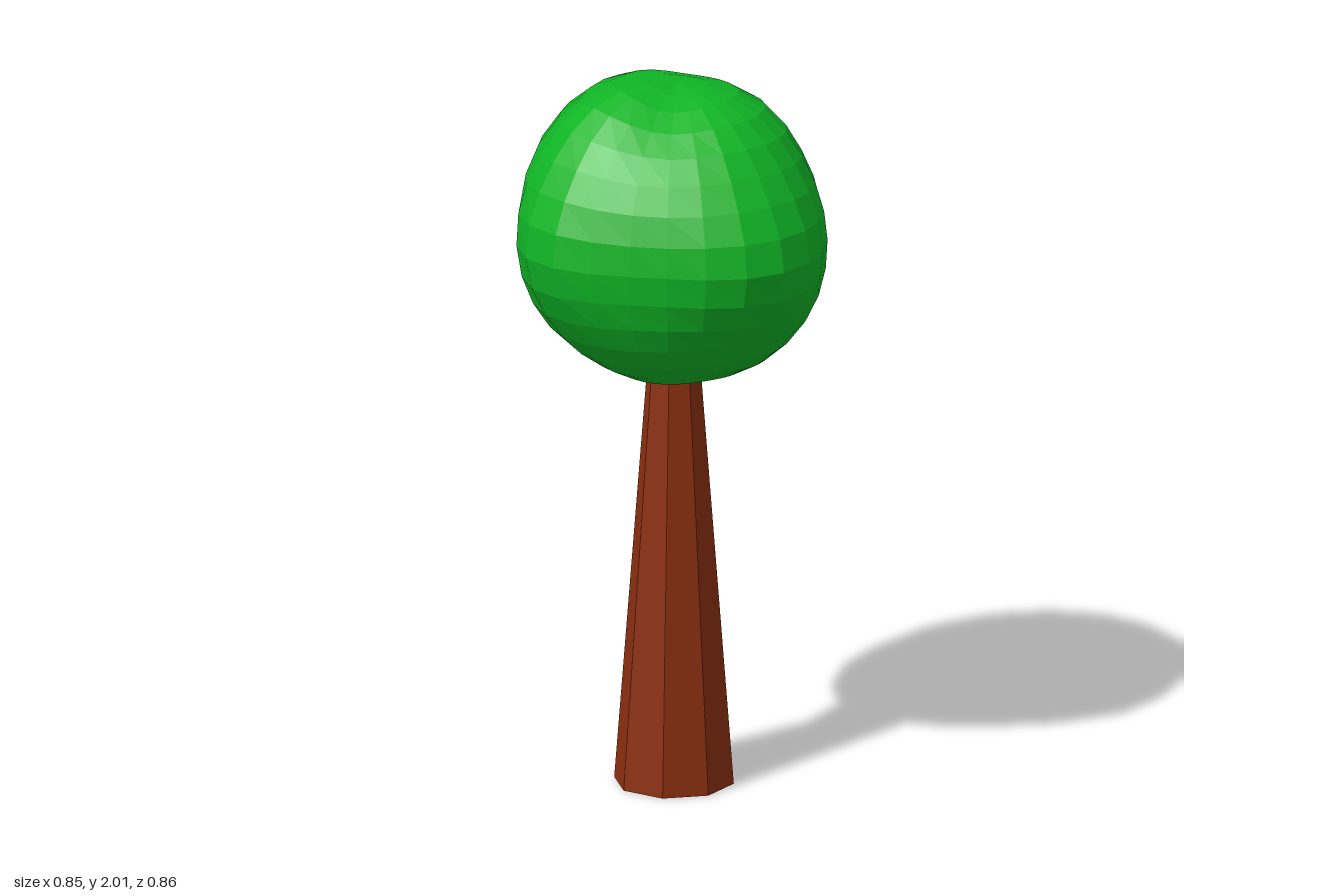
import * as THREE from 'three';

const bark = new THREE.MeshStandardMaterial({ name: 'bark brown', color: 0x8b2f10, flatShading: true });
const leaf = new THREE.MeshStandardMaterial({ name: 'leaf green', color: 0x10b526, flatShading: true });

// Smooth curve through four neighbouring values
function spline(a, b, c, d, t) {
  return b + 0.5 * t * (c - a + t * (2 * a - 5 * b + 4 * c - d + t * (3 * (b - c) + d - a)));
}

// Crown radius by latitude (-90 to 90 in steps of 30) and by eighths of a turn,
// starting at +x and turning towards +z
const crownRadii = [
  [0.425, 0.425, 0.425, 0.425, 0.425, 0.425, 0.425, 0.425],
  [0.435, 0.42, 0.425, 0.425, 0.405, 0.43, 0.435, 0.46],
  [0.43, 0.425, 0.43, 0.445, 0.435, 0.45, 0.44, 0.43],
  [0.42, 0.48, 0.43, 0.485, 0.412, 0.45, 0.432, 0.382],
  [0.42, 0.445, 0.43, 0.475, 0.45, 0.475, 0.445, 0.39],
  [0.44, 0.44, 0.425, 0.475, 0.46, 0.46, 0.435, 0.43],
  [0.427, 0.427, 0.427, 0.427, 0.427, 0.427, 0.427, 0.427],
];

function crownRadius(latitude, turn) {
  const u = (((turn / (Math.PI * 2)) * 8) + 8) % 8;
  const i = Math.floor(u);
  const v = (latitude / Math.PI + 0.5) * 6;
  const j = Math.min(5, Math.floor(v));
  const ring = (k) => {
    const r = crownRadii[Math.max(0, Math.min(6, k))];
    return spline(r[(i + 7) % 8], r[i % 8], r[(i + 1) % 8], r[(i + 2) % 8], u - i);
  };
  return spline(ring(j - 1), ring(j), ring(j + 1), ring(j + 2), v - j);
}

// Lumpy ball of leaves
function makeCrown() {
  const geometry = new THREE.SphereGeometry(1, 26, 16);
  const p = geometry.attributes.position;
  const v = new THREE.Vector3();
  for (let i = 0; i < p.count; i++) {
    v.fromBufferAttribute(p, i);
    const r = crownRadius(Math.asin(THREE.MathUtils.clamp(v.y, -1, 1)), Math.atan2(v.z, v.x));
    v.multiplyScalar(r);
    p.setXYZ(i, v.x, v.y, v.z);
  }
  geometry.computeVertexNormals();
  const mesh = new THREE.Mesh(geometry, leaf);
  mesh.name = 'leafCrown';
  mesh.position.y = 1.57;
  return mesh;
}

// Tapered eight-sided trunk
function makeTrunk() {
  const mesh = new THREE.Mesh(new THREE.CylinderGeometry(0.07, 0.167, 1.25, 8), bark);
  mesh.name = 'trunk';
  mesh.position.set(0, 0.625, 0.047);
  return mesh;
}

// Bent four-sided branch behind the trunk
function makeBranch() {
  const sections = [
    { x: -0.045, half: 0.04, outer: [-0.0, 0.705], inner: [0.0, 0.895] },
    { x: -0.075, half: 0.032, outer: [-0.185, 1.02], inner: [-0.13, 1.04] },
    { x: -0.095, half: 0.024, outer: [-0.235, 1.3], inner: [-0.2, 1.3] },
  ];
  const geometry = new THREE.BoxGeometry(1, 1, 1, 1, 2, 1);
  const p = geometry.attributes.position;
  for (let i = 0; i < p.count; i++) {
    const s = sections[Math.round((p.getY(i) + 0.5) * 2)];
    const [z, y] = p.getZ(i) < 0 ? s.outer : s.inner;
    p.setXYZ(i, s.x + Math.sign(p.getX(i)) * s.half, y, z);
  }
  geometry.computeVertexNormals();
  const mesh = new THREE.Mesh(geometry, bark);
  mesh.name = 'branch';
  return mesh;
}

export function createModel() {
  const tree = new THREE.Group();
  tree.name = 'tree';
  tree.add(makeTrunk(), makeBranch(), makeCrown());
  return tree;
}
